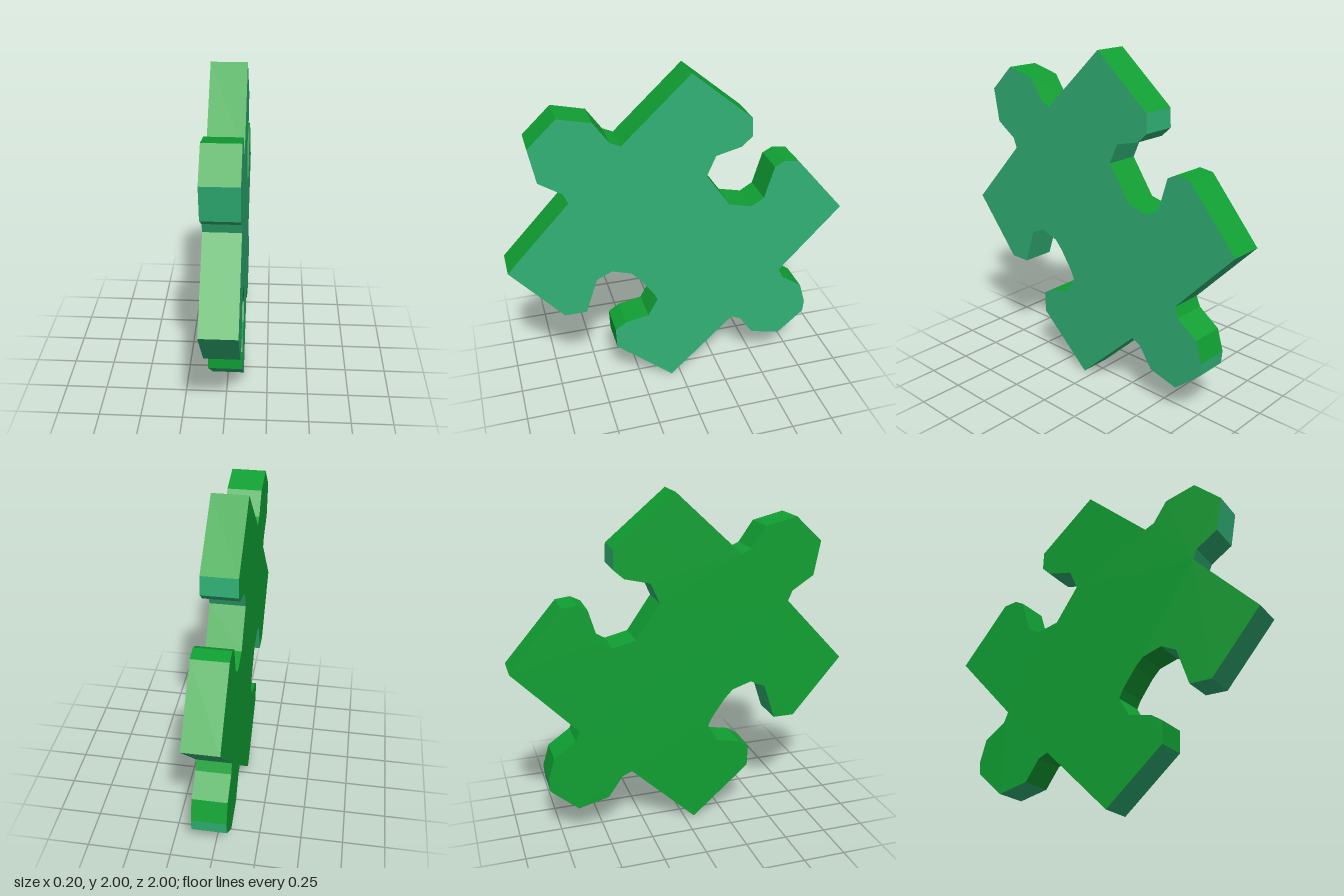
import * as THREE from 'three';

const HALF = 0.1; // half the thickness of the piece

// Outline seen from +x, clockwise from the top corner: [z, y, colour of the edge that follows]
const G = 0, T = 1;
const outline = [
  // top corner and rear socket
  [-0.055, 2, G], [-0.405, 1.71, T], [-0.41, 1.6, T], [-0.35, 1.545, T],
  [-0.2, 1.508, T], [-0.148, 1.39, G], [-0.29, 1.187, G], [-0.425, 1.155, G],
  [-0.5, 1.2, G], [-0.557, 1.39, G], [-0.615, 1.42, G], [-0.7, 1.41, G],
  // rear corner and lower tab
  [-1, 1.064, T], [-0.63, 0.674, G], [-0.656, 0.615, G], [-0.785, 0.524, G],
  [-0.823, 0.396, T], [-0.817, 0.32, T], [-0.656, 0.18, T], [-0.474, 0.225, G],
  [-0.388, 0.348, G], [-0.33, 0.374, T],
  // bottom corner and front socket
  [0.06, 0, T], [0.405, 0.3, G], [0.41, 0.428, G], [0.345, 0.47, G],
  [0.206, 0.497, G], [0.147, 0.604, G], [0.17, 0.652, G], [0.25, 0.765, G],
  [0.3, 0.818, G], [0.415, 0.855, T], [0.506, 0.813, T], [0.576, 0.6, T],
  [0.704, 0.6, T],
  // front corner and upper tab
  [1, 0.947, G], [0.635, 1.337, T], [0.66, 1.396, T], [0.79, 1.48, T],
  [0.827, 1.68, G], [0.667, 1.83, G], [0.48, 1.786, G], [0.394, 1.663, G],
  [0.335, 1.636, G],
];

// Flat-shaded wall strip over the edges of one colour
function edgeWalls(colour) {
  const pos = [];
  outline.forEach(([z0, y0, c], i) => {
    if (c !== colour) return;
    const [z1, y1] = outline[(i + 1) % outline.length];
    const a = [HALF, y0, z0], b = [HALF, y1, z1];
    const d = [-HALF, y0, z0], e = [-HALF, y1, z1];
    pos.push(...a, ...b, ...e, ...a, ...e, ...d);
  });
  const geo = new THREE.BufferGeometry();
  geo.setAttribute('position', new THREE.Float32BufferAttribute(pos, 3));
  geo.computeVertexNormals();
  return geo;
}

// Flat side plate at x = side * HALF, facing outwards
function sidePlate(side) {
  const shape = new THREE.Shape(outline.map(([z, y]) => new THREE.Vector2(-side * z, y)));
  return new THREE.ShapeGeometry(shape)
    .rotateY(side * Math.PI / 2)
    .translate(side * HALF, 0, 0);
}

export function createModel() {
  const green = new THREE.MeshStandardMaterial({ color: 0x10a033 });
  green.name = 'leaf green';
  const teal = new THREE.MeshStandardMaterial({ color: 0x30b175 });
  teal.name = 'teal green';

  const group = new THREE.Group();
  group.name = 'puzzlePiece';
  const add = (name, geometry, material) => {
    const mesh = new THREE.Mesh(geometry, material);
    mesh.name = name;
    group.add(mesh);
  };

  add('leftFace', sidePlate(1), teal);
  add('rightFace', sidePlate(-1), green);
  add('greenEdges', edgeWalls(G), green);
  add('tealEdges', edgeWalls(T), teal);
  return group;
}
